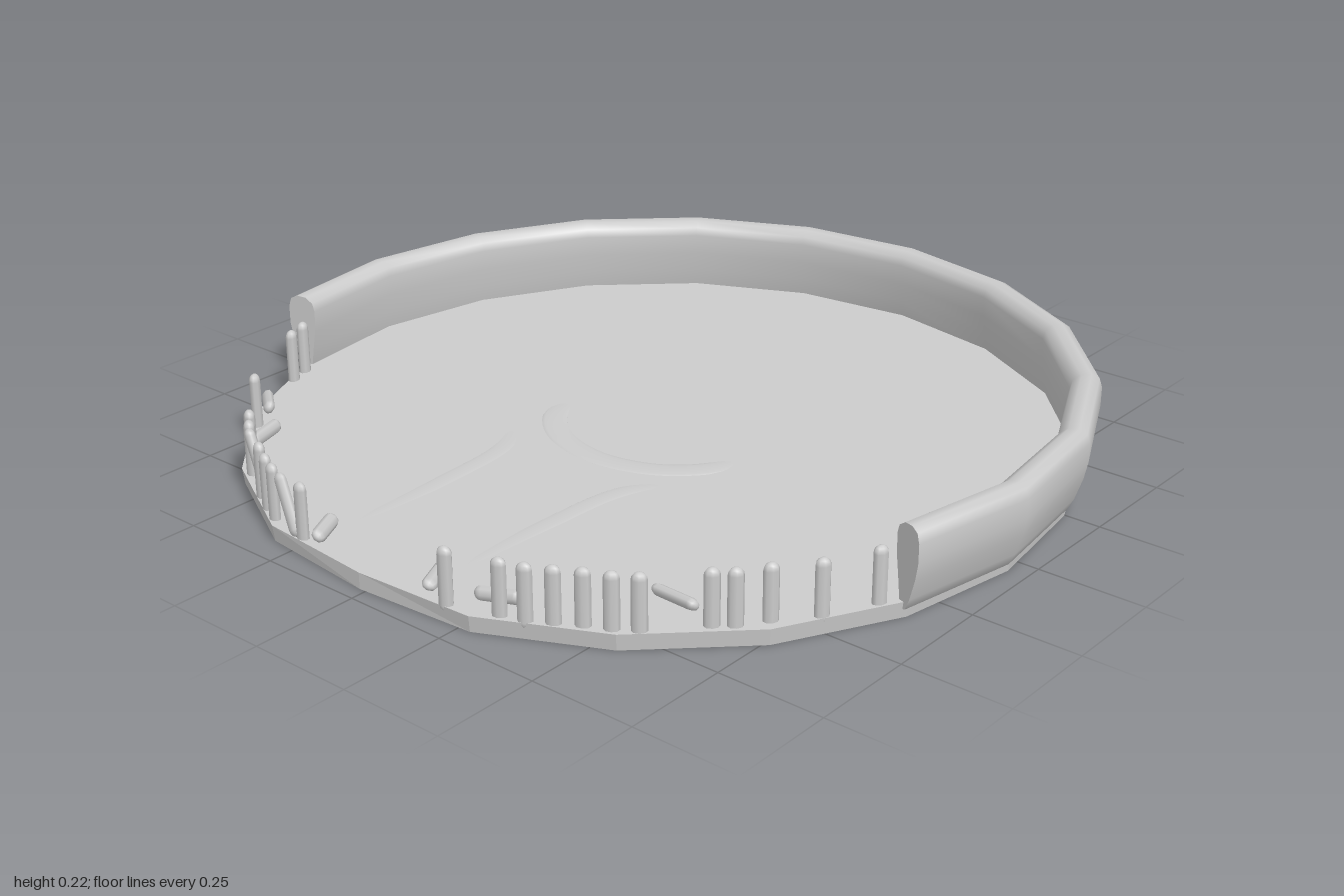
import * as THREE from 'three';

const rad = THREE.MathUtils.degToRad;
const CZ = 0.03;              // centre of the round plan
const START = rad(70.3);      // left end of the wall, angle from +z towards +x
const SWEEP = rad(216);
const FLOOR = 0.038;

export function createModel() {
  const group = new THREE.Group();
  const smooth = new THREE.MeshStandardMaterial({ color: 0xcccccc });
  const both = new THREE.MeshStandardMaterial({ color: 0xcccccc, side: THREE.DoubleSide });
  const flatBoth = new THREE.MeshStandardMaterial({
    color: 0xcccccc, side: THREE.DoubleSide, flatShading: true,
  });
  const vectors = (points) => points.map(([x, y]) => new THREE.Vector2(x, y));

  const add = (name, geometry, material, parent = group) => {
    const mesh = new THREE.Mesh(geometry, material);
    mesh.name = name;
    parent.add(mesh);
    return mesh;
  };

  // Twenty-sided thin floor with a skirt, open below and trimmed straight at the front
  const floor = new THREE.LatheGeometry(vectors([[0.955, 0], [0.96, FLOOR], [0, FLOOR]]), 20, START + rad(0.7));
  const p = floor.attributes.position;
  for (let i = 0; i < p.count; i++) p.setZ(i, THREE.MathUtils.clamp(p.getZ(i), -0.945, 0.933));
  add('floor', floor, flatBoth).position.z = CZ;

  // Rounded wall around the back and sides
  const profile = vectors([
    [0.952, 0.02], [0.963, 0.023], [0.976, 0.05], [0.992, 0.1], [1, 0.14], [1, 0.185], [0.993, 0.206],
    [0.975, 0.215], [0.952, 0.213], [0.934, 0.2], [0.928, 0.18], [0.93, 0.13], [0.938, 0.08],
    [0.945, 0.03], [0.952, 0.02],
  ]);
  const wall = new THREE.Group();
  wall.name = 'wall';
  wall.position.z = CZ;
  group.add(wall);
  add('wallBody', new THREE.LatheGeometry(profile, 12, START, SWEEP), smooth, wall);
  for (const angle of [START, START + SWEEP]) {
    const cap = add('wallEnd', new THREE.ShapeGeometry(new THREE.Shape(profile)), both, wall);
    cap.rotation.y = angle - Math.PI / 2;
  }

  // Faint swellings of the floor: a crescent and a stem towards the front
  const ridge = (name, points, radius) => {
    const path = new THREE.CatmullRomCurve3(points.map(([x, y, z]) => new THREE.Vector3(x, y, z)));
    const mesh = add(name, new THREE.TubeGeometry(path, 32, radius, 12), smooth);
    mesh.scale.y = 0.1;
    mesh.position.y = FLOOR;
  };
  ridge('floorCrescent', [
    [-0.27, -0.05, 0.03], [-0.24, -0.008, 0.13], [-0.15, -0.005, 0.21], [-0.01, -0.005, 0.245],
    [0.13, -0.005, 0.21], [0.22, -0.008, 0.13], [0.25, -0.05, 0.03],
  ], 0.03);
  for (const s of [-1, 1]) {
    ridge('floorStem', [
      [s * 0.24 - 0.03, -0.03, 0.24], [s * 0.18 - 0.03, -0.012, 0.34],
      [s * 0.16 - 0.03, -0.012, 0.55], [s * 0.16 - 0.03, -0.03, 0.9],
    ], 0.025);
  }

  // Flattened round-ended rod between two points, its broad side along the rim
  const up = new THREE.Vector3(0, 1, 0);
  const rod = (name, a, b) => {
    const from = new THREE.Vector3(...a), to = new THREE.Vector3(...b);
    const axis = to.clone().sub(from);
    const length = axis.length();
    const geometry = new THREE.CapsuleGeometry(0.017, length - 0.034, 4, 8);
    geometry.scale(1, 1, 0.75);
    geometry.rotateY(Math.atan2(from.x, from.z - CZ));
    const mesh = add(name, geometry, smooth);
    mesh.quaternion.setFromUnitVectors(up, axis.normalize());
    mesh.position.copy(from).lerp(to, 0.5);
  };

  // Standing posts along the open front rim
  const posts = [
    [0.866, 0.385], [0.81, 0.5], [0.745, 0.58], [0.705, 0.64], [0.67, 0.67], [0.575, 0.775],
    [0.53, 0.805], [0.478, 0.83], [0.427, 0.86], [0.378, 0.888], [0.325, 0.905], [0.212, 0.94],
    [-0.888, 0.335], [-0.868, 0.388], [-0.73, 0.62], [-0.583, 0.76], [-0.54, 0.797],
    [-0.436, 0.858], [-0.382, 0.888], [-0.334, 0.91], [-0.22, 0.932],
  ];
  for (const [x, z] of posts) rod('post', [x, 0.02, z], [x, 0.167, z]);

  // Posts knocked askew
  rod('leaningPost', [-0.455, 0.035, 0.83], [-0.515, 0.163, 0.82]);
  rod('leaningPost', [-0.235, 0.035, 0.935], [-0.3, 0.16, 0.92]);

  // Broken posts lying on the floor
  const fallen = [
    [-0.825, 0.51, -0.74, 0.575], [-0.675, 0.605, -0.63, 0.72], [-0.22, 0.845, -0.163, 0.945],
    [0.11, 0.84, 0.165, 0.945], [0.24, 0.888, 0.34, 0.855], [0.5, 0.645, 0.625, 0.66],
  ];
  for (const [x1, z1, x2, z2] of fallen) rod('fallenPost', [x1, 0.052, z1], [x2, 0.06, z2]);

  return group;
}
